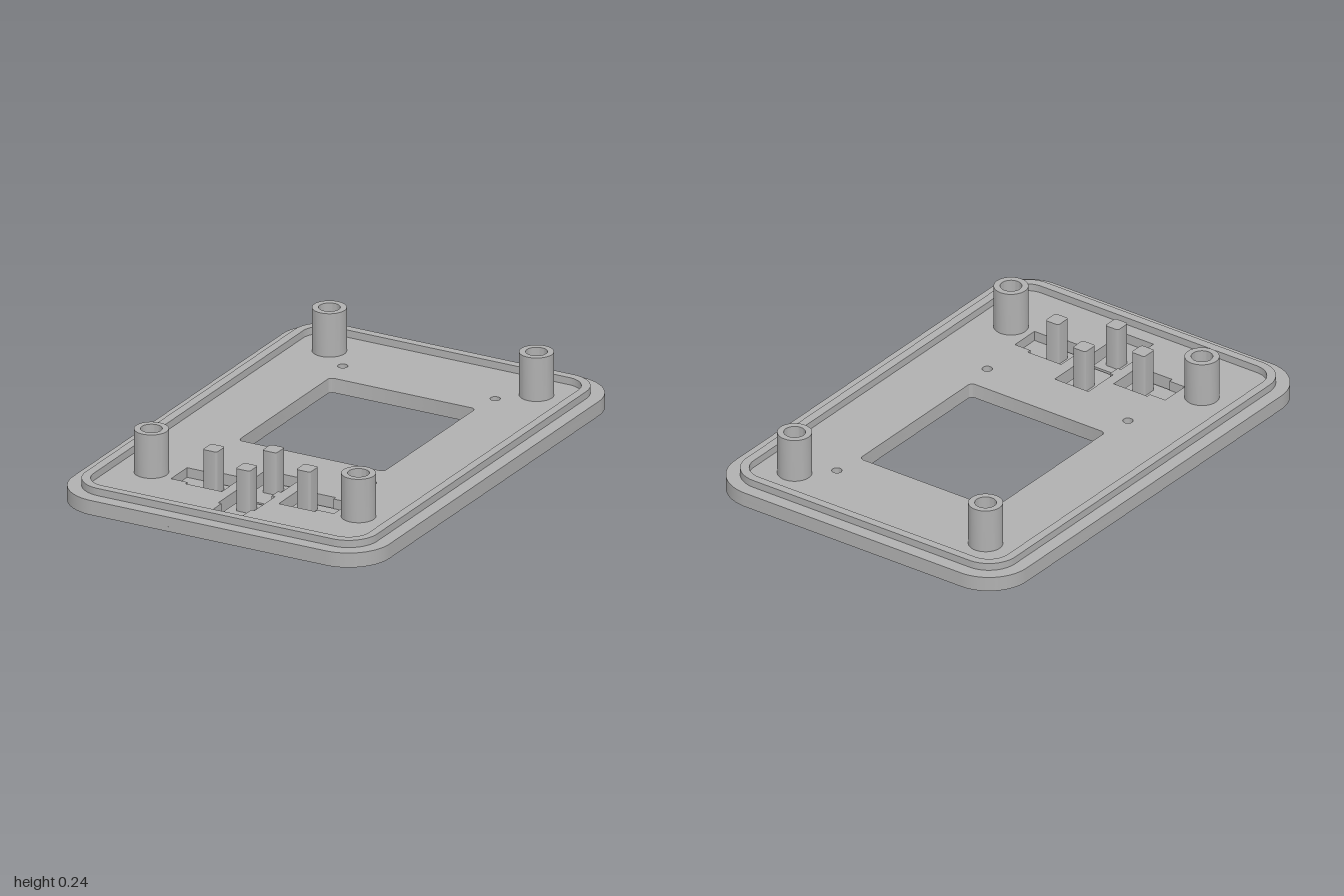
import * as THREE from 'three';
import { toCreasedNormals } from 'three/addons/utils/BufferGeometryUtils.js';

// Plan shapes are drawn in (x, z); shape y = -z so that extrusions rise along +y.
function roundedRect(x0, x1, z0, z1, r, Type = THREE.Shape) {
  const s = new Type();
  const b = -z1, t = -z0;
  s.absarc(x1 - r, b + r, r, -Math.PI / 2, 0);
  s.absarc(x1 - r, t - r, r, 0, Math.PI / 2);
  s.absarc(x0 + r, t - r, r, Math.PI / 2, Math.PI);
  s.absarc(x0 + r, b + r, r, Math.PI, Math.PI * 1.5);
  s.closePath();
  return s;
}

function circle(x, z, r) {
  const p = new THREE.Path();
  p.absarc(x, -z, r, 0, Math.PI * 2);
  return p;
}

const polygon = (pts) => new THREE.Path(pts.map(([x, z]) => new THREE.Vector2(x, -z)));

// Mirrors one half of an outline across the z axis and closes it
const mirrored = (half) => polygon([...half, ...half.map(([x, z]) => [-x, z]).reverse()]);

export function createModel() {
  const group = new THREE.Group();
  const grey = new THREE.MeshStandardMaterial({ color: 0xb0b0b0 });
  grey.name = 'plain grey';

  const add = (name, geometry) => {
    const mesh = new THREE.Mesh(geometry, grey);
    mesh.name = name;
    group.add(mesh);
    return mesh;
  };
  const slab = (name, shape, y0, y1) => {
    const g = new THREE.ExtrudeGeometry(shape, { depth: y1 - y0, bevelEnabled: false, curveSegments: 14 });
    g.rotateX(-Math.PI / 2).translate(0, y0, 0);
    return add(name, toCreasedNormals(g, 0.5));
  };

  const SKIN = 0.02, FLOOR = 0.06, LIP = 0.09;
  const windowHole = () => roundedRect(-0.32, 0.32, -0.525, 0.195, 0.02, THREE.Path);
  const outline = () => roundedRect(-0.695, 0.695, -1, 1, 0.18);

  // Button centres, with the direction pointing away from each hinge
  const buttons = [
    { x: -0.203, z: 0.595, dx: 1, dz: 0 },
    { x: 0.207, z: 0.595, dx: -1, dz: 0 },
    { x: 0, z: 0.49, dx: 0, dz: -1 },
    { x: 0, z: 0.7, dx: 0, dz: -1 },
  ];

  // Thin face skin with U-shaped slots that free each button tongue
  const skin = outline();
  skin.holes.push(windowHole());
  const slot = [
    [-0.08, -0.08], [0.08, -0.08], [0.08, 0.08], [-0.08, 0.08],
    [-0.08, 0.066], [0.067, 0.066], [0.067, -0.066], [-0.08, -0.066],
  ];
  for (const { x, z, dx, dz } of buttons) {
    skin.holes.push(polygon(slot.map(([u, v]) => [x + u * dx - v * dz, z + u * dz + v * dx])));
    skin.holes.push(circle(x, z, 0.01));
  }
  slab('faceSkin', skin, 0, SKIN);

  // Main plate with button recesses and blind screw holes
  const plate = outline();
  plate.holes.push(windowHole());
  plate.holes.push(mirrored([
    [0.08, 0.41], [0.08, 0.57], [0.065, 0.57], [0.065, 0.62],
    [0.08, 0.62], [0.08, 0.78], [0.065, 0.78], [0.065, 0.85],
  ]));
  const sideRecess = [
    [0.08, -0.08], [0.08, 0.08], [-0.08, 0.08], [-0.08, 0.063],
    [-0.153, 0.063], [-0.153, -0.063], [-0.08, -0.063], [-0.08, -0.08],
  ];
  for (const { x, z, dx } of buttons.slice(0, 2)) {
    plate.holes.push(polygon(sideRecess.map(([u, v]) => [x + u * dx, z + v])));
  }
  for (const x of [-0.335, 0.335]) {
    for (const z of [-0.65, 0.32]) plate.holes.push(circle(x, z, 0.02));
  }
  slab('mainPlate', plate, SKIN, FLOOR);

  // Raised locating lip
  const lip = roundedRect(-0.64, 0.64, -0.945, 0.945, 0.125);
  lip.holes.push(roundedRect(-0.605, 0.605, -0.91, 0.91, 0.09, THREE.Path));
  slab('locatingLip', lip, FLOOR, LIP);

  // Button posts
  for (const { x, z } of buttons) {
    slab('buttonPost', roundedRect(x - 0.031, x + 0.031, z - 0.033, z + 0.033, 0.01), SKIN, 0.195);
  }

  // Corner bosses with a stepped bore
  const profile = [
    [0.067, FLOOR], [0.067, 0.24], [0.042, 0.24], [0.042, 0.13],
    [0.022, 0.13], [0.022, FLOOR + 0.002], [0, FLOOR + 0.002],
  ].map(([r, y]) => new THREE.Vector2(r, y));
  const boss = toCreasedNormals(new THREE.LatheGeometry(profile, 40), 0.5);
  for (const x of [-0.455, 0.455]) {
    for (const z of [-0.76, 0.635]) add('screwBoss', boss).position.set(x, 0, z);
  }

  return group;
}
